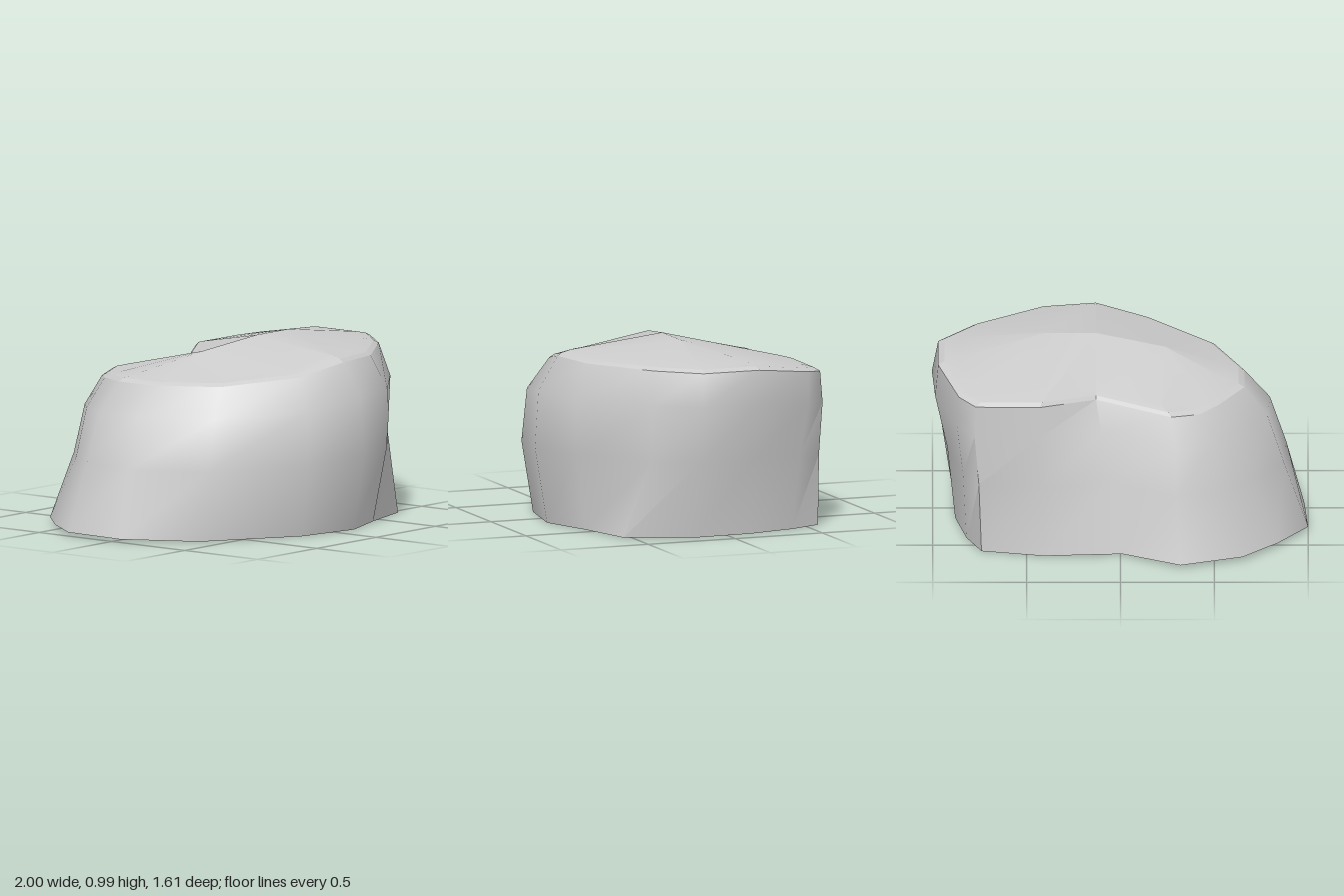
import * as THREE from 'three';
import { toCreasedNormals } from 'three/addons/utils/BufferGeometryUtils.js';

// Columns around the body, from the front tip by the right lobe to the left lobe:
// bottom x, bottom z, rim x, rim z, rim height, crown point it runs to, lean (below 1 = leans early)
const columns = [
  [0.14, 0.735, 0.13, 0.67, 0.895, 1, 1],
  [-0.22, 0.67, -0.16, 0.60, 0.84, 0, 1],
  [-0.72, 0.37, -0.50, 0.34, 0.805, 0, 0.75],
  [-0.98, 0.04, -0.66, 0.00, 0.80, 0, 1],
  [-1.00, -0.30, -0.66, -0.23, 0.80, 0, 1],
  [-0.84, -0.52, -0.52, -0.44, 0.785, 0, 1],
  [-0.65, -0.71, -0.42, -0.54, 0.775, 0, 1],
  [-0.32, -0.81, -0.27, -0.60, 0.785, 0, 1],
  [-0.01, -0.635, 0.13, -0.41, 0.805, 1, 1],
  [0.41, -0.645, 0.43, -0.585, 0.835, 2, 1],
  [0.74, -0.58, 0.77, -0.58, 0.835, 2, 1],
  [0.82, -0.40, 0.86, -0.48, 0.85, 2, 1],
  [0.88, -0.13, 0.97, -0.15, 0.895, 2, 1],
  [0.89, 0.19, 0.97, 0.17, 0.895, 2, 1],
  [0.75, 0.54, 0.785, 0.38, 0.895, 2, 0.05],
  [0.43, 0.63, 0.42, 0.62, 0.895, 2, 1],
];

// Ridge along the top
const crown = [[-0.24, 0.935, 0], [0.13, 0.985, 0.07], [0.40, 0.985, 0.07]];

// Wall levels: share of the height, then bulge all round, extra to +x, extra to the front
const levels = [
  [0, 0, 0, 0],
  [0.46, 0.03, -0.02, 0.07],
  [0.8, 0.057, -0.015, 0.043],
  [1, 0, 0, 0],
];

// Point on a column's wall: from bottom to rim, pushed out by the level's bulge
function wallPoint([bx, bz, rx, rz, ry, , lean], [t, all, side, front]) {
  const s = t ** lean;
  const x = bx + (rx - bx) * s, z = bz + (rz - bz) * s;
  const len = Math.hypot(x - 0.1, z);
  const dx = (x - 0.1) / len, dz = z / len;
  const k = Math.max(0, all + side * dx + front * dz);
  const base = 0.02 * Math.max(0, -bx - bz - 0.3);
  return [x + k * dx, base + (ry - base) * t, z + k * dz];
}

// Joins closed rings, listed from the bottom up
function loft(rings, crease) {
  const n = rings[0].length;
  const index = [];
  for (let r = 0; r < rings.length - 1; r++) {
    for (let i = 0; i < n; i++) {
      const j = (i + 1) % n;
      const a = r * n + i, b = r * n + j, c = a + n, d = b + n;
      index.push(b, a, c);
      // Skip the second triangle where neighbours share an upper point
      if (rings[r + 1][i] !== rings[r + 1][j]) index.push(b, c, d);
    }
  }
  const g = new THREE.BufferGeometry();
  g.setAttribute('position', new THREE.Float32BufferAttribute(rings.flat(2), 3));
  g.setIndex(index);
  return toCreasedNormals(g, crease);
}

// Copy of a ring drawn in towards the middle and lifted
function inset(ring, scale, lift) {
  return ring.map(([x, y, z]) => [0.13 + (x - 0.13) * scale, y + lift, 0.05 + (z - 0.05) * scale]);
}

export function createModel() {
  const group = new THREE.Group();
  group.name = 'heartShapedBlock';
  const material = new THREE.MeshStandardMaterial({ color: 0xcccccc, side: THREE.DoubleSide });

  // Side wall, open at the bottom
  const wallRings = levels.map((level) => columns.map((c) => wallPoint(c, level)));
  const wall = new THREE.Mesh(loft(wallRings, 0.95), material);
  wall.name = 'sideWall';

  // Top: rounded bevel, then facets rising to the ridge
  const rim = wallRings[3];
  const ridge = columns.map((c) => crown[c[5]]);
  const capRings = [rim, inset(rim, 0.96, 0.017), inset(rim, 0.88, 0.03), ridge];
  const cap = new THREE.Mesh(loft(capRings, 0.25), material);
  cap.name = 'top';

  group.add(wall, cap);
  return group;
}
